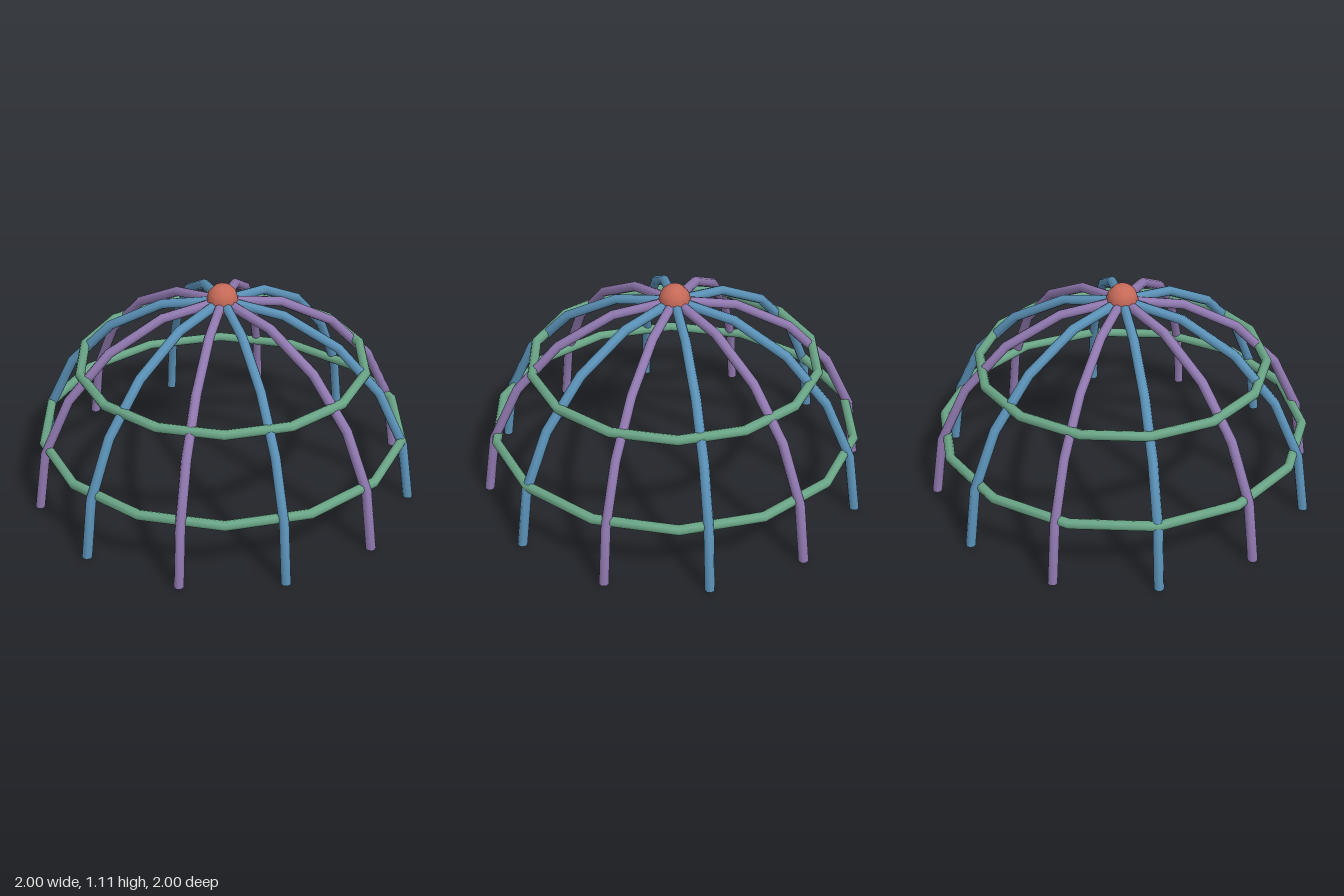
import * as THREE from 'three';

const TUBE = 0.025, SPAN = 0.973, HEIGHT = 1.02;

function material(name, color) {
  const m = new THREE.MeshStandardMaterial({ color });
  m.name = name;
  return m;
}

export function createModel() {
  const group = new THREE.Group();
  group.name = 'climbingDome';
  const blue = material('blue', 0x5b92b8);
  const purple = material('purple', 0x9079b0);
  const green = material('green', 0x6aa587);
  const red = material('red', 0xc76a59);

  const add = (name, geometry, mat, parent = group) => {
    const mesh = new THREE.Mesh(geometry, mat);
    mesh.name = name;
    parent.add(mesh);
    return mesh;
  };

  // Arched ribs: half ellipses crossing at the apex, in ten straight segments
  const points = [];
  for (let i = 0; i <= 40; i++) {
    const a = (i / 40) * Math.PI;
    points.push(new THREE.Vector3(SPAN * Math.cos(a), HEIGHT * Math.sin(a), 0));
  }
  const ribGeometry = new THREE.TubeGeometry(new THREE.CatmullRomCurve3(points), 10, TUBE, 8);
  const capGeometry = new THREE.CircleGeometry(TUBE, 8).rotateX(Math.PI / 2);
  for (let i = 0; i < 6; i++) {
    const arch = new THREE.Group();
    arch.name = 'arch' + (i + 1);
    arch.rotation.y = (i * Math.PI) / 6;
    const mat = i % 2 ? purple : blue;
    add('rib', ribGeometry, mat, arch);
    for (const side of [-1, 1]) add('footCap', capGeometry, mat, arch).position.x = side * SPAN;
    group.add(arch);
  }

  // Horizontal fourteen-sided hoops
  for (const [name, radius, y] of [['lowerHoop', 0.922, 0.327], ['upperHoop', 0.722, 0.692]]) {
    const geometry = new THREE.TorusGeometry(radius, TUBE, 8, 14).rotateX(Math.PI / 2);
    add(name, geometry, green).position.y = y;
  }

  // Ball joint at the apex
  add('apexBall', new THREE.SphereGeometry(0.08, 10, 6), red).position.y = 1.027;
  return group;
}
